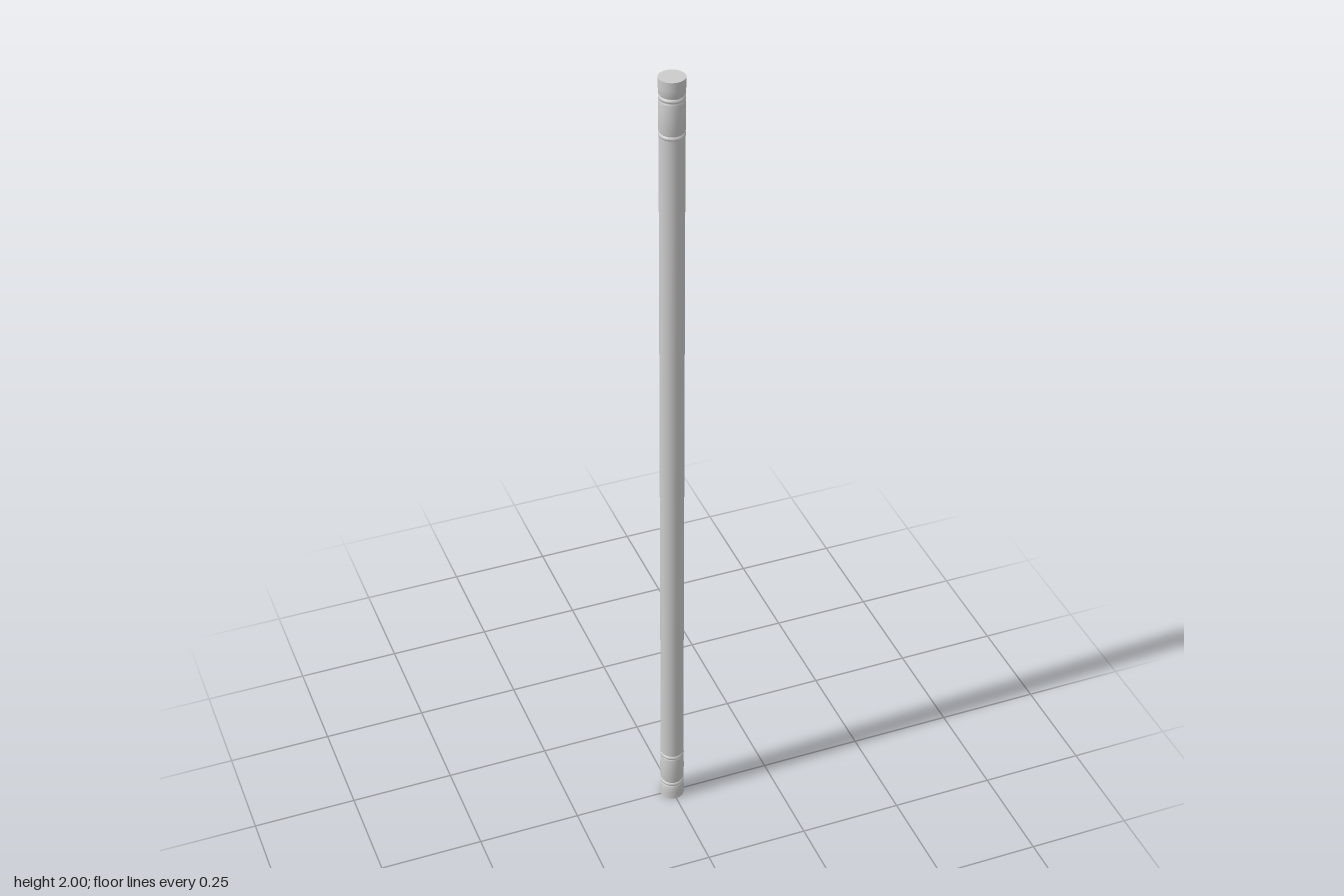
import * as THREE from 'three';

const material = new THREE.MeshStandardMaterial({ color: 0xcccccc });

// Closed turned piece from [radius, height] pairs, listed bottom to top
function turned(name, profile) {
  const points = profile.map(([r, y]) => new THREE.Vector2(r, y));
  const mesh = new THREE.Mesh(new THREE.LatheGeometry(points, 32), material);
  mesh.name = name;
  return mesh;
}

// Decorated end, measured from the middle of the staff
function createEnd(name) {
  const end = new THREE.Group();
  end.name = name;
  end.add(
    turned('lowerGroove', [[0.026, 0.855], [0.026, 0.875]]),
    turned('lowerRing', [[0.025, 0.862], [0.029, 0.865], [0.029, 0.87], [0.025, 0.873]]),
    turned('collar', [[0.025, 0.872], [0.0285, 0.876], [0.0293, 0.91], [0.0285, 0.945], [0.025, 0.95]]),
    turned('upperGroove', [[0.026, 0.945], [0.026, 0.965]]),
    turned('upperRing', [[0.025, 0.95], [0.029, 0.952], [0.029, 0.957], [0.025, 0.96]]),
    turned('endKnob', [[0.025, 0.96], [0.0285, 0.964], [0.0295, 0.98], [0.0295, 1]]),
    turned('endFace', [[0.0295, 1], [0, 1]])
  );
  return end;
}

export function createModel() {
  const model = new THREE.Group();
  model.name = 'staff';

  // Long straight shaft with softly shaded ends
  model.add(turned('shaft', [[0, 0.14], [0.028, 0.14], [0.028, 1.86], [0, 1.86]]));

  // Matching ends, the lower one turned over
  const top = createEnd('topEnd');
  const bottom = createEnd('bottomEnd');
  bottom.rotation.x = Math.PI;
  for (const end of [top, bottom]) {
    end.position.y = 1;
    model.add(end);
  }
  return model;
}
